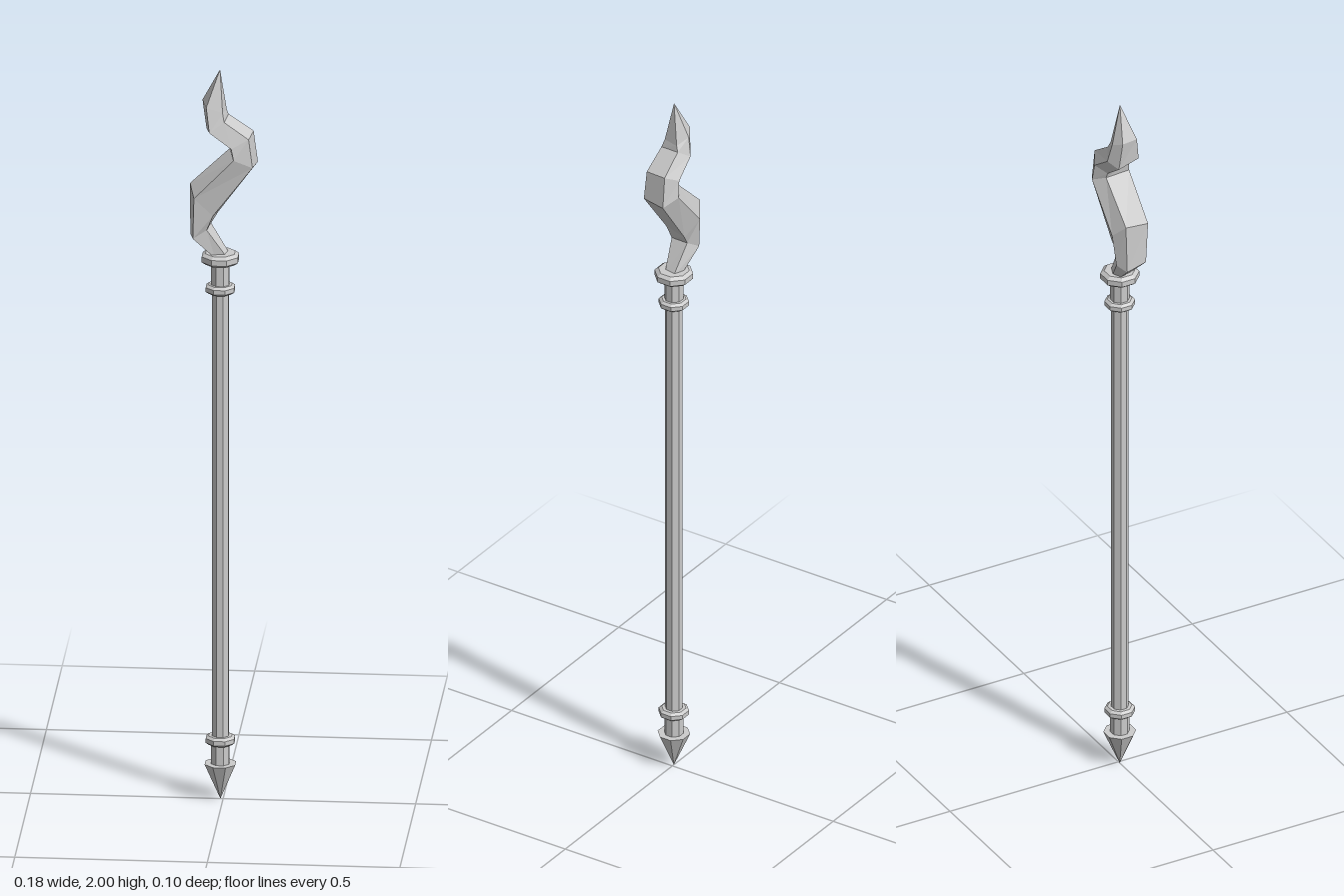
import * as THREE from 'three';

const SIDES = 8;
const AXIS_X = -0.007;

export function createModel() {
  const staff = new THREE.Group();
  staff.name = 'staff';
  const material = new THREE.MeshStandardMaterial({ color: 0xcccccc, flatShading: true });

  const add = (name, geometry, x = 0) => {
    const mesh = new THREE.Mesh(geometry, material);
    mesh.name = name;
    mesh.position.x = x;
    staff.add(mesh);
  };

  // Faceted turned part from [radius, height] pairs, bottom to top
  const turned = (name, profile) => {
    const points = profile.map(([r, y]) => new THREE.Vector2(r, y));
    const geometry = new THREE.LatheGeometry(points, SIDES, Math.PI / SIDES);
    add(name, geometry, AXIS_X);
  };

  // Collar with bevelled rims
  const collar = (name, y, radius, height) => {
    const h = height / 2;
    turned(name, [
      [0, y - h], [radius * 0.8, y - h], [radius, y - h * 0.5],
      [radius, y + h * 0.5], [radius * 0.8, y + h], [0, y + h],
    ]);
  };

  // Pole with slightly thicker ends
  turned('shaft', [
    [0, 0.09], [0.025, 0.09], [0.025, 0.163], [0.023, 0.163],
    [0.023, 1.4], [0.025, 1.4], [0.025, 1.48], [0, 1.48],
  ]);
  turned('footSpike', [[0, 0], [0.043, 0.098], [0, 0.098]]);
  collar('lowerCollar', 0.163, 0.04, 0.024);
  collar('upperCollar', 1.4, 0.04, 0.024);
  collar('headCollar', 1.484, 0.051, 0.03);

  add('crystalHead', crystalGeometry());
  return staff;
}

// Zigzag crystal: tilted pentagonal sections joined by flat triangles
function crystalGeometry() {
  // Section corners: fraction from left to right edge, and depth
  const pentagon = [[0, -0.025], [0.22, 0.044], [0.88, 0.032], [1, -0.026], [0.45, -0.046]];
  // Each section: left x, left y, right x, right y, depth scale
  const sections = [
    [-0.03, 1.49, 0.017, 1.49, 0.5],
    [-0.087, 1.54, -0.034, 1.572, 0.9],
    [-0.088, 1.677, -0.015, 1.6, 1.08],
    [0.015, 1.775, 0.088, 1.74, 1.12],
    [0.01, 1.79, 0.077, 1.825, 1.05],
    [-0.045, 1.83, 0.012, 1.87, 0.95],
    [-0.055, 1.91, 0.008, 1.885, 0.72],
  ];
  const rings = sections.map(([lx, ly, rx, ry, depth]) =>
    pentagon.map(([u, z]) => [lx + (rx - lx) * u, ly + (ry - ly) * u, z * depth]));
  const tip = [-0.008, 2, 0];
  const base = [-0.007, 1.48, 0];

  const positions = [];
  const triangle = (...corners) => corners.forEach((c) => positions.push(...c));
  const n = pentagon.length;
  for (let i = 0; i < n; i++) {
    const j = (i + 1) % n;
    triangle(base, rings[0][j], rings[0][i]);
    for (let k = 0; k < rings.length - 1; k++) {
      const a = rings[k], b = rings[k + 1];
      triangle(a[i], a[j], b[j]);
      triangle(a[i], b[j], b[i]);
    }
    const top = rings[rings.length - 1];
    triangle(top[i], top[j], tip);
  }
  const geometry = new THREE.BufferGeometry();
  geometry.setAttribute('position', new THREE.Float32BufferAttribute(positions, 3));
  geometry.computeVertexNormals();
  return geometry;
}
